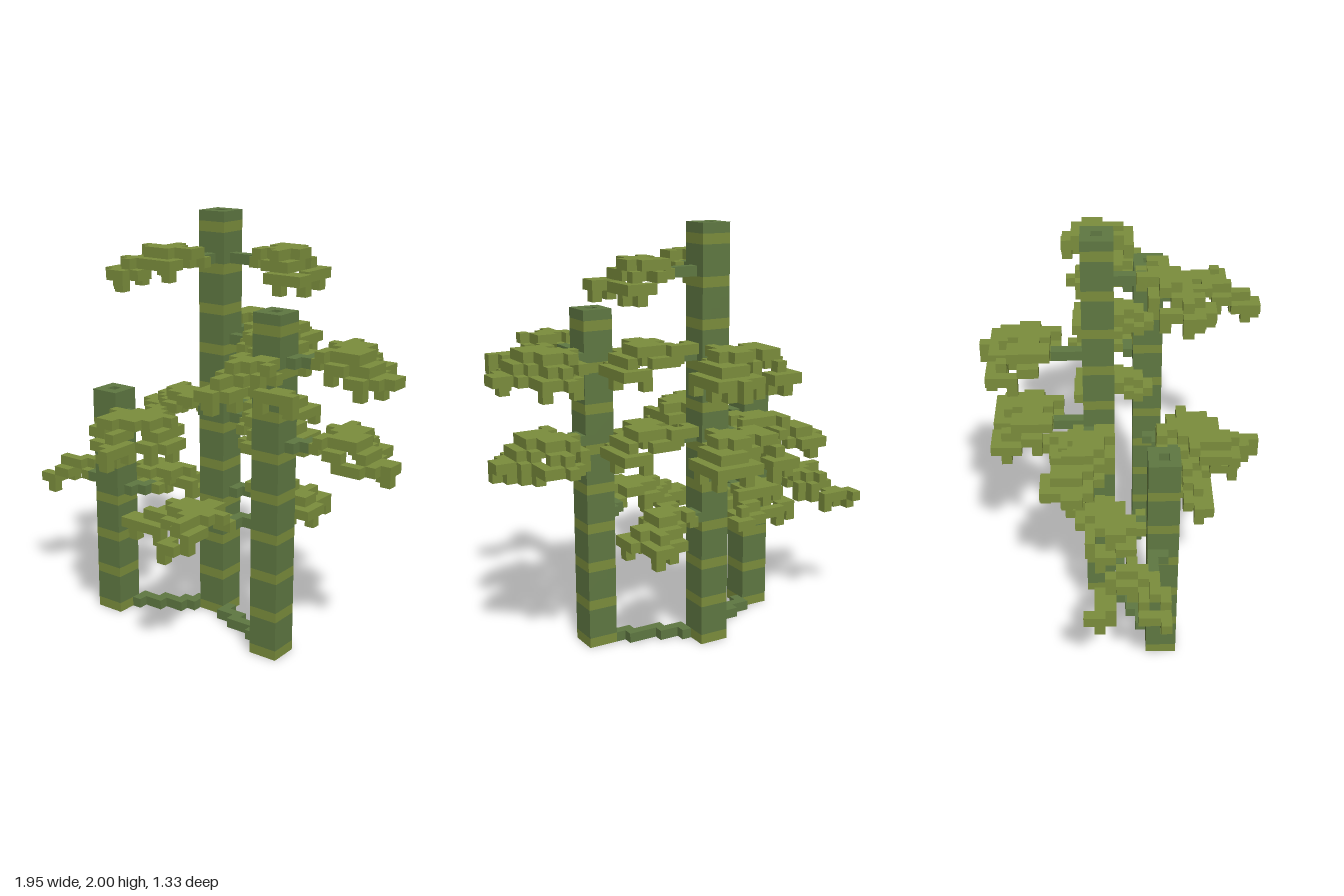
import * as THREE from 'three';

const V = 1 / 21; // edge of one cube

const materials = {
  stemGreen: new THREE.MeshStandardMaterial({ color: 0x5f7842 }),
  leafGreen: new THREE.MeshStandardMaterial({ color: 0x7b8d3c }),
};
for (const name in materials) materials[name].name = name;

// Stalks: centre cell (i along x, k along z) and height in cubes
const stalks = {
  tallStalk: { i: 19, k: 11, h: 42 },
  middleStalk: { i: 29, k: 16, h: 34 },
  shortStalk: { i: 10, k: 17, h: 24 },
};

// Leaf footprints: first z row, then per row the [start, end] x spans
const back = { k: 1, rows: [[16, 18, 20, 24], [16, 18, 20, 24], [16, 24], [16, 24], [16, 24], [17, 22], [19, 21]] };
const backTip = { k: 0, rows: [[22, 22], ...back.rows] };
const leftLeaf = { k: 6, rows: [[9, 11], [9, 13], [8, 13], [8, 17], [9, 17], [11, 17], [13, 16]] };
const leftLow = { k: 8, rows: [[16, 17], [14, 17], [11, 16], [9, 16], [9, 16], [9, 14], [9, 13], [12, 14]] };
const rightTop = { k: 8, rows: [[26, 29], [25, 29], [24, 29], [24, 29], [24, 28], [25, 30], [27, 30]] };
const rightMid = { k: 9, rows: [[22, 29], [22, 29], [23, 29], [23, 29], [24, 29], [24, 28], [25, 28], [26, 28]] };
const rightLow = { k: 5, rows: [[27, 28], [25, 28], [25, 28], [23, 29], [22, 29], [22, 29], [23, 26]] };
const farRight = { k: 8, rows: [[35, 35], [34, 37], [33, 37], [33, 37], [33, 38], [33, 40], [33, 40], [33, 39], [34, 38]] };
const frontRight = { k: 20, rows: [[29, 30], [29, 32], [29, 33], [29, 35], [29, 31, 33, 36], [29, 31], [29, 31], [29, 30]] };
const frontTop = { k: 15, rows: [[17, 20], [15, 20], [14, 20], [14, 19], [13, 19], [13, 16], [14, 15]] };
const frontMid = { k: 17, rows: [[14, 17], [14, 19], [14, 20], [13, 20], [13, 20], [13, 19], [13, 17], [14, 17], [16, 17], [17, 17]] };
const frontLow = { k: 18, rows: [[21, 26], [19, 26], [17, 26], [16, 25], [16, 25], [23, 25], [23, 25], [23, 24]] };
const farLeft = { k: 10, rows: [[1, 1], [1, 4], [2, 5], [4, 6], [4, 6], [1, 6], [1, 6], [0, 3]] };

// Branches: stalk, layer, cell where the leaf starts, footprint
const branches = [
  ['tallStalk', 37, [19, 15], frontTop],
  ['tallStalk', 37, [24, 11], rightTop],
  ['tallStalk', 29, [19, 7], backTip],
  ['tallStalk', 29, [23, 11], rightMid],
  ['tallStalk', 21, [19, 7], back],
  ['tallStalk', 21, [17, 10], leftLeaf],
  ['tallStalk', 21, [23, 11], rightMid],
  ['tallStalk', 13, [22, 10], rightLow],
  ['middleStalk', 29, [33, 14], farRight],
  ['middleStalk', 29, [30, 20], frontRight],
  ['middleStalk', 21, [33, 14], farRight],
  ['middleStalk', 13, [26, 18], frontLow],
  ['shortStalk', 21, [14, 18], frontMid],
  ['shortStalk', 13, [6, 16], farLeft],
  ['shortStalk', 13, [13, 15], leftLow],
];

export function createModel() {
  const cells = new Set(); // filled cubes, so that touching faces are skipped
  const parts = new Map();
  const put = (part, colour, i, j, k) => {
    const key = `${i},${j},${k}`;
    if (cells.has(key)) return;
    cells.add(key);
    if (!parts.has(part)) parts.set(part, { stemGreen: [], leafGreen: [] });
    parts.get(part)[colour].push([i, j, k]);
  };

  // Edge-connected stepped run of cubes between two cells
  const run = (part, j, [i0, k0], [i1, k1]) => {
    let i = i0, k = k0;
    const di = Math.abs(i1 - i0), dk = Math.abs(k1 - k0);
    put(part, 'stemGreen', i, j, k);
    while (i !== i1 || k !== k1) {
      const a = di ? Math.abs(i1 - i) / di : 0, b = dk ? Math.abs(k1 - k) / dk : 0;
      if (a >= b) i += Math.sign(i1 - i);
      else k += Math.sign(k1 - k);
      put(part, 'stemGreen', i, j, k);
    }
  };

  // Hollow square stalks with a light ring every fourth layer
  for (const [name, s] of Object.entries(stalks)) {
    for (let j = 0; j < s.h; j++)
      for (let a = -1; a <= 1; a++)
        for (let b = -1; b <= 1; b++)
          if (j === 0 || a || b) put(name, j % 4 ? 'stemGreen' : 'leafGreen', s.i + a, j, s.k + b);
  }

  // Creeping roots joining the stalks
  const rim = (s, [i, k]) => {
    const clamp = (d) => Math.max(-1, Math.min(1, d));
    return [s.i + clamp(i - s.i), s.k + clamp(k - s.k)];
  };
  const tall = stalks.tallStalk;
  for (const name of ['middleStalk', 'shortStalk']) {
    const s = stalks[name];
    run('root', 0, rim(tall, [s.i, s.k]), rim(s, [tall.i, tall.k]));
  }

  // Twigs and arched, drooping leaf sprays
  branches.forEach(([stalk, layer, base, leaf], n) => {
    const s = stalks[stalk];
    const start = [s.i, s.k];
    const dx = base[0] - s.i, dz = base[1] - s.k;
    if (Math.abs(dx) > Math.abs(dz)) start[0] += Math.sign(dx);
    else start[1] += Math.sign(dz);
    run(`twig${n + 1}`, layer, start, base);

    const inside = new Set();
    leaf.rows.forEach((row, r) => {
      for (let p = 0; p < row.length; p += 2)
        for (let i = row[p]; i <= row[p + 1]; i++) inside.add(`${i},${leaf.k + r}`);
    });
    const list = [...inside].map((c) => c.split(',').map(Number));
    const dist = ([i, k]) => Math.hypot(i - base[0], k - base[1]);
    const reach = Math.max(...list.map(dist));
    for (const [i, k] of list) {
      const f = dist([i, k]) / reach;
      const edge = [[1, 0], [-1, 0], [0, 1], [0, -1]].some(([a, b]) => !inside.has(`${i + a},${k + b}`));
      let top = f < 0.15 ? 0 : f < 0.62 ? 1 : f < 0.84 ? 0 : -1;
      if (edge && f > 0.35 && top >= 0) top--;
      const thick = f > 0.3 && (i * 7 + k * 5 + n) % 3 === 0 ? 2 : 1;
      for (let t = 0; t < thick; t++) put(`leaf${n + 1}`, 'leafGreen', i, layer + top - t, k);
    }
  });

  // Outer faces of a list of cubes
  const skin = (list) => {
    const pos = [];
    const ring = [[0, 0], [1, 0], [1, 1], [0, 1]];
    for (const c of list)
      for (let axis = 0; axis < 3; axis++)
        for (const side of [0, 1]) {
          const next = [...c];
          next[axis] += side ? 1 : -1;
          if (cells.has(next.join())) continue;
          const q = ring.map(([a, b]) => {
            const p = [...c];
            p[axis] += side;
            p[(axis + 1) % 3] += a;
            p[(axis + 2) % 3] += b;
            return [(p[0] - 20.5) * V, p[1] * V, (p[2] - 14) * V];
          });
          if (!side) q.reverse();
          for (const m of [0, 1, 2, 0, 2, 3]) pos.push(...q[m]);
        }
    const g = new THREE.BufferGeometry();
    g.setAttribute('position', new THREE.Float32BufferAttribute(pos, 3));
    g.computeVertexNormals();
    return g;
  };

  const model = new THREE.Group();
  model.name = 'bambooCluster';
  for (const [name, colours] of parts) {
    const part = new THREE.Group();
    part.name = name;
    for (const [colour, list] of Object.entries(colours)) {
      if (!list.length) continue;
      const mesh = new THREE.Mesh(skin(list), materials[colour]);
      mesh.name = `${name}${colour === 'leafGreen' ? 'Light' : 'Dark'}`;
      part.add(mesh);
    }
    model.add(part);
  }
  return model;
}
